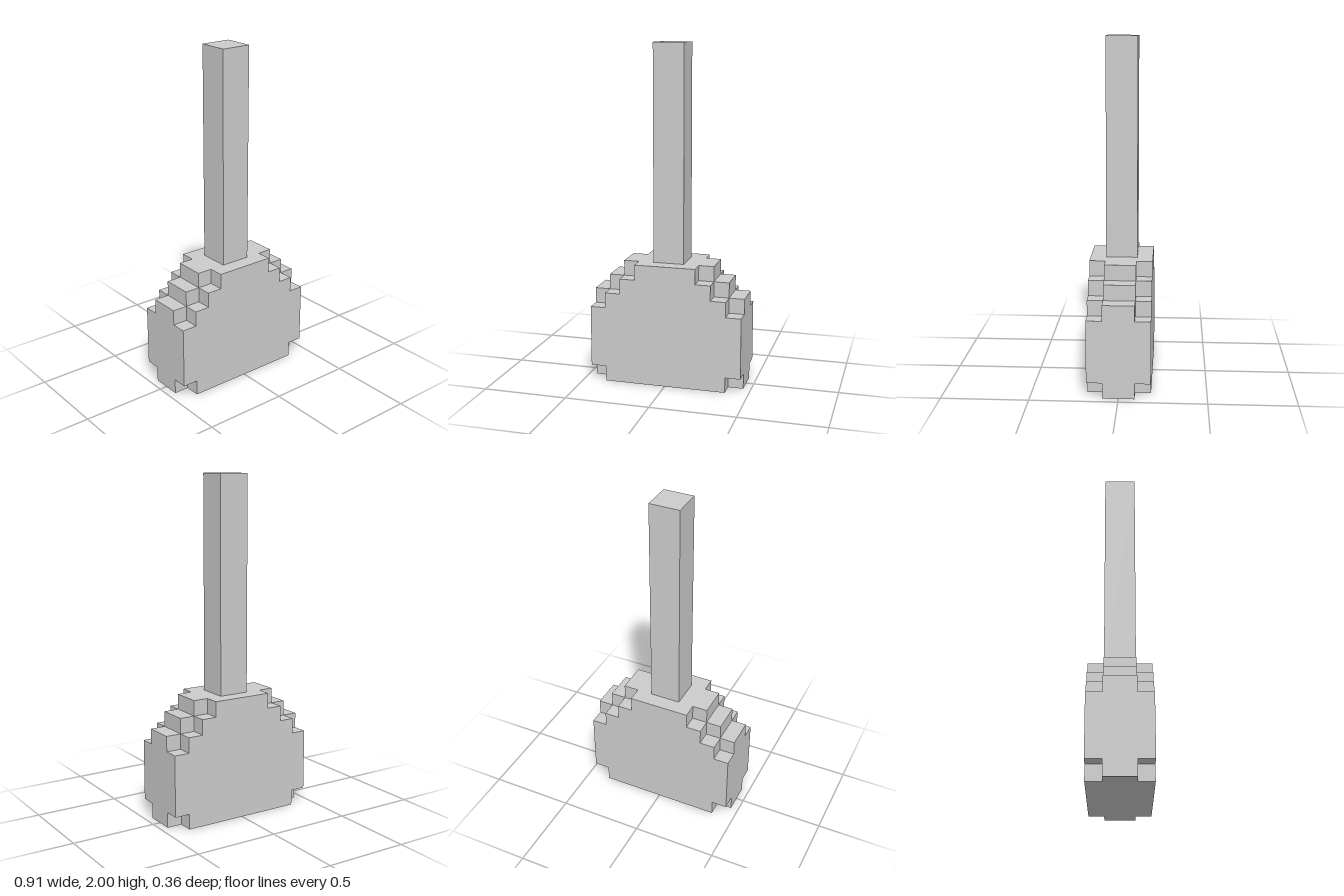
import * as THREE from 'three';

const U = 2 / 22; // one block

// Symmetric stepped outline from its right-hand corners, in blocks
function steppedShape(right) {
  const left = right.map(([x, y]) => [-x, y]).reverse();
  return new THREE.Shape([...right, ...left].map(([x, y]) => new THREE.Vector2(x * U, y * U)));
}

export function createModel() {
  const group = new THREE.Group();
  const material = new THREE.MeshStandardMaterial({ color: 0xcccccc, flatShading: true });

  const add = (name, geometry, y, z) => {
    const mesh = new THREE.Mesh(geometry, material);
    mesh.name = name;
    mesh.position.set(0, y * U, z * U);
    group.add(mesh);
  };
  const slab = (corners, depth) =>
    new THREE.ExtrudeGeometry(steppedShape(corners), { depth: depth * U, bevelEnabled: false });

  // Middle of the head, two blocks thick
  const core = [[5, 0], [5, 6], [4, 6], [4, 7], [3, 7], [3, 8]];
  add('headCore', slab(core, 2), 0, -1);

  // Front and back layers, notched at the corners
  const face = [[4, 0], [4, 1], [5, 1], [5, 5], [4, 5], [4, 6], [3, 6], [3, 7], [2, 7], [2, 8]];
  add('headFront', slab(face, 1), 0, 1);
  add('headBack', slab(face, 1), 0, -2);

  // Square handle standing on the head
  add('handle', new THREE.BoxGeometry(2 * U, 14 * U, 2 * U), 15, 0);

  return group;
}
